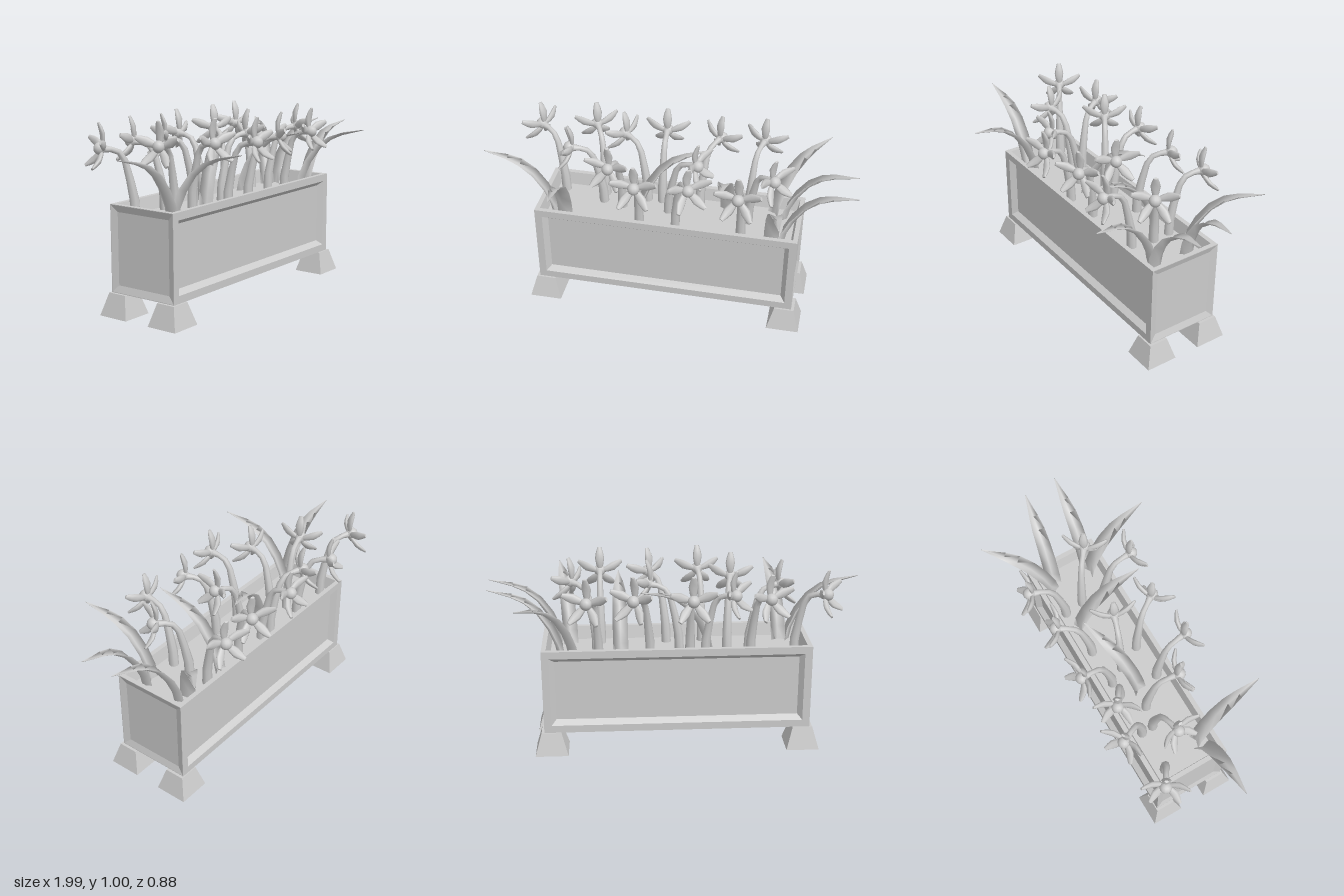
import * as THREE from 'three';

const grey = new THREE.MeshStandardMaterial({ color: 0xcccccc, side: THREE.DoubleSide });

function mesh(geometry, name) {
  const m = new THREE.Mesh(geometry, grey);
  m.name = name;
  return m;
}

// Rectangular face toward +z: flat frame, sloped bevel, sunken panel
function panelFace(w, h, frame, bevel, depth) {
  const pos = [], idx = [];
  for (const [inset, z] of [[0, 0], [frame, 0], [frame + bevel, -depth]]) {
    const x = w / 2 - inset, y = h / 2 - inset;
    pos.push(-x, -y, z, x, -y, z, x, y, z, -x, y, z);
  }
  for (let r = 0; r < 2; r++) {
    for (let i = 0; i < 4; i++) {
      const a = r * 4 + i, b = r * 4 + (i + 1) % 4;
      idx.push(a, b, b + 4, a, b + 4, a + 4);
    }
  }
  idx.push(8, 9, 10, 8, 10, 11);
  const g = new THREE.BufferGeometry();
  g.setAttribute('position', new THREE.Float32BufferAttribute(pos, 3));
  g.setIndex(idx);
  const flat = g.toNonIndexed();
  flat.computeVertexNormals();
  return flat;
}

// Loft along a path in the xy plane. Stations are [x, y, halfWidth, halfThickness];
// the cross-section lists [across z, along the path normal].
function loft(stations, section) {
  const n = section.length, pos = [], idx = [];
  stations.forEach(([x, y, w, t], i) => {
    const a = stations[Math.max(i - 1, 0)], b = stations[Math.min(i + 1, stations.length - 1)];
    const len = Math.hypot(b[0] - a[0], b[1] - a[1]);
    const nx = -(b[1] - a[1]) / len, ny = (b[0] - a[0]) / len;
    for (const [u, v] of section) pos.push(x + nx * v * t, y + ny * v * t, u * w);
  });
  for (let r = 0; r < stations.length - 1; r++) {
    for (let i = 0; i < n; i++) {
      const a = r * n + i, b = r * n + (i + 1) % n;
      idx.push(a, b, b + n, a, b + n, a + n);
    }
  }
  // End caps with their own vertices so the rims stay sharp
  for (const r of [0, stations.length - 1]) {
    const start = pos.length / 3;
    for (let i = 0; i < n * 3; i++) pos.push(pos[r * n * 3 + i]);
    for (let i = 1; i < n - 1; i++) {
      if (r === 0) idx.push(start, start + i + 1, start + i);
      else idx.push(start, start + i, start + i + 1);
    }
  }
  const g = new THREE.BufferGeometry();
  g.setAttribute('position', new THREE.Float32BufferAttribute(pos, 3));
  g.setIndex(idx);
  g.computeVertexNormals();
  return g;
}

const ring = Array.from({ length: 8 }, (_, i) => {
  const a = i * Math.PI / 4;
  return [Math.cos(a), Math.sin(a)];
});
const foldedBlade = [[1, 0.8], [0, -0.2], [-1, 0.8], [0, -1]];

const stemGeo = loft([
  [0, 0.48, 0.027, 0.027], [0.005, 0.6, 0.025, 0.025], [0.025, 0.7, 0.021, 0.021],
  [0.05, 0.8, 0.017, 0.017], [0.08, 0.845, 0.015, 0.015], [0.12, 0.86, 0.014, 0.014],
  [0.165, 0.866, 0.02, 0.02],
], ring);
const petalGeo = loft([
  [-0.005, 0.008, 0.008, 0.007], [0, 0.04, 0.019, 0.012], [0.01, 0.075, 0.025, 0.013],
  [0.025, 0.1, 0.02, 0.011], [0.042, 0.125, 0.011, 0.006],
], ring);
const leafGeo = loft([
  [0, 0.48, 0.04, 0.016], [0.02, 0.58, 0.04, 0.016], [0.06, 0.67, 0.04, 0.015],
  [0.12, 0.755, 0.038, 0.013], [0.19, 0.81, 0.034, 0.011], [0.26, 0.838, 0.024, 0.008],
  [0.385, 0.866, 0.002, 0.002],
], foldedBlade);
const heartGeo = new THREE.SphereGeometry(0.032, 12, 8);

// Places a plant at its base, turned to lean toward the target point
function aim(object, [x, z, tx, tz]) {
  object.position.set(x, 0, z);
  object.rotation.y = Math.atan2(-(tz - z), tx - x);
  return object;
}

function makeFlower() {
  const flower = new THREE.Group();
  flower.name = 'flower';
  flower.add(mesh(stemGeo, 'stem'));
  const head = new THREE.Group();
  head.name = 'flowerHead';
  head.position.set(0.17, 0.866, 0);
  head.rotation.z = 0.24;
  for (let i = 0; i < 5; i++) {
    const petal = mesh(petalGeo, 'petal');
    petal.rotation.x = i * Math.PI * 2 / 5;
    head.add(petal);
  }
  const heart = mesh(heartGeo, 'flowerCentre');
  heart.position.x = 0.008;
  head.add(heart);
  flower.add(head);
  return flower;
}

export function createModel() {
  const model = new THREE.Group();
  model.name = 'flowerPlanter';

  // Planter box: long sides framed, ends shallowly dished, top sunk to the soil
  const W = 1.42, H = 0.46, D = 0.41;
  const box = new THREE.Group();
  box.name = 'planterBox';
  box.position.set(0, 0.35, -0.055);
  for (const s of [1, -1]) {
    const long = mesh(panelFace(W, H, 0.04, 0.025, 0.03), s > 0 ? 'frontPanel' : 'backPanel');
    long.position.z = s * D / 2;
    long.rotation.y = s > 0 ? 0 : Math.PI;
    const end = mesh(panelFace(D, H, 0.003, 0.036, 0.012), s > 0 ? 'leftPanel' : 'rightPanel');
    end.position.x = s * W / 2;
    end.rotation.y = s * Math.PI / 2;
    box.add(long, end);
  }
  const top = mesh(panelFace(W, D, 0.025, 0.015, 0.07), 'rimAndSoil');
  top.position.y = H / 2;
  top.rotation.x = -Math.PI / 2;
  const base = mesh(new THREE.PlaneGeometry(W, D), 'baseBoard');
  base.position.y = -H / 2;
  base.rotation.x = Math.PI / 2;
  box.add(top, base);
  model.add(box);

  // Four tapered square feet
  const footGeo = new THREE.CylinderGeometry(0.053 * Math.SQRT2, 0.0875 * Math.SQRT2, 0.12, 4, 1)
    .rotateY(Math.PI / 4).toNonIndexed();
  footGeo.computeVertexNormals();
  for (const x of [-0.672, 0.672]) {
    for (const z of [0.107, -0.213]) {
      const foot = mesh(footGeo, 'foot');
      foot.position.set(x, 0.06, z);
      model.add(foot);
    }
  }

  // Flowers: base x, z and the point the head leans toward
  const flowers = [
    [-0.62, -0.17, -0.775, -0.27], [-0.39, -0.17, -0.475, -0.335], [-0.15, -0.165, -0.28, -0.25],
    [-0.07, -0.165, -0.075, -0.335], [0.14, -0.17, 0.22, -0.31], [0.41, -0.18, 0.47, -0.36],
    [-0.385, -0.105, -0.555, -0.065], [-0.275, -0.08, -0.305, 0.09], [-0.15, 0.06, -0.135, 0.23],
    [-0.02, -0.08, 0.15, -0.025], [0.045, 0.05, 0.14, 0.2], [0.4, 0.05, 0.4, 0.21],
    [0.42, -0.075, 0.555, 0.03],
  ];
  for (const f of flowers) model.add(aim(makeFlower(), f));

  // Long arching leaves: base x, z and tip
  const leaves = [
    [-0.61, 0.06, -1, 0.055], [-0.57, 0.045, -0.53, 0.42], [0.565, 0.05, 0.63, 0.43],
    [0.61, 0.06, 0.995, 0.095], [0.605, -0.15, 0.98, -0.09], [0.55, -0.17, 0.81, -0.44],
    [0.295, -0.17, 0.3, 0.2], [-0.18, -0.06, 0.2, -0.19],
  ];
  for (const l of leaves) model.add(aim(mesh(leafGeo, 'leaf'), l));

  return model;
}
